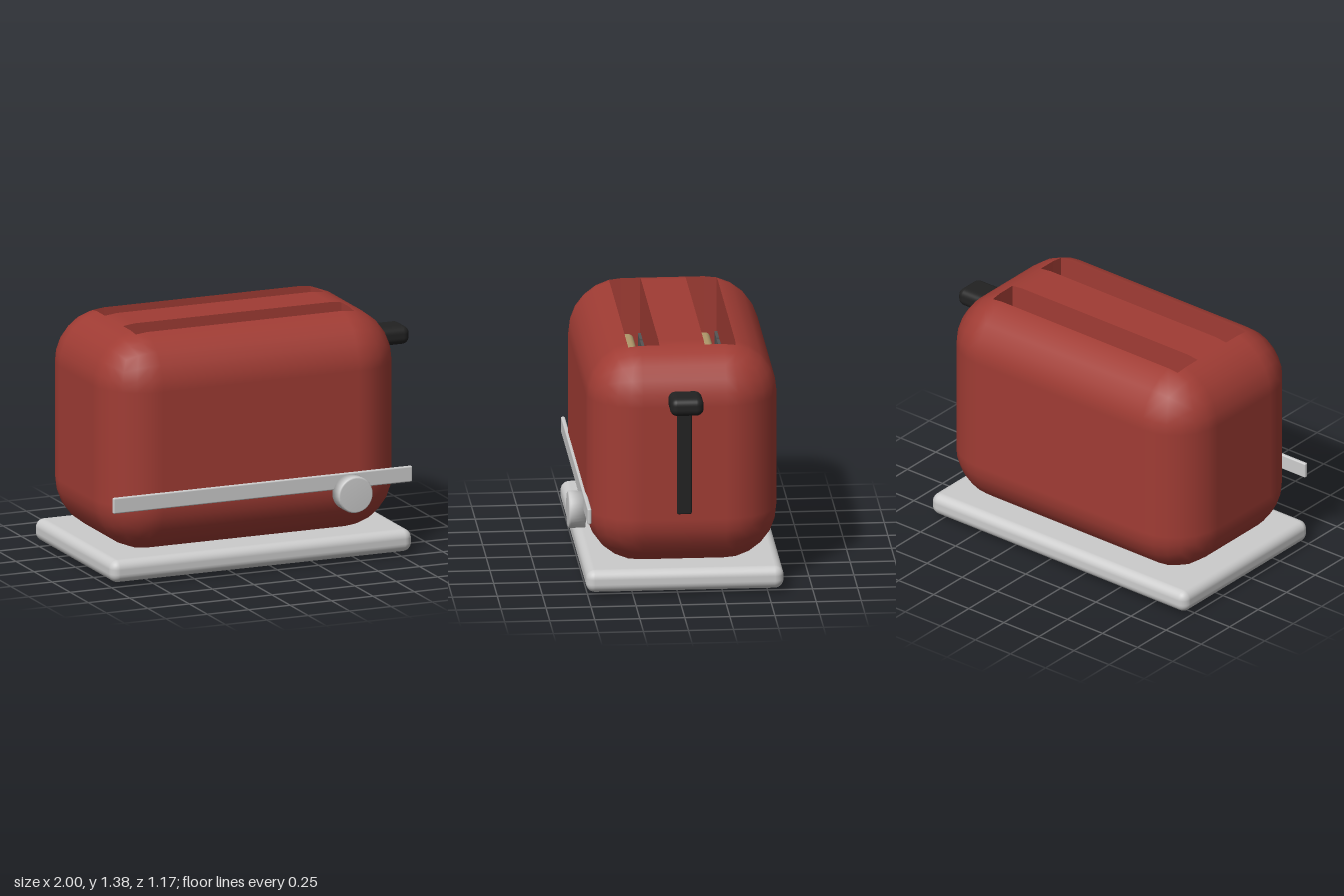
import * as THREE from 'three';
import { RoundedBoxGeometry } from 'three/addons/geometries/RoundedBoxGeometry.js';

const mat = (name, color) => Object.assign(new THREE.MeshStandardMaterial({ color }), { name });

// Rounded box shell with two open wells in its top face.
function bodyGeometry(half, r, wellFloor) {
  const inner = half.map((h) => h - r);
  const steps = [0, 13.5, 29, 45].map((a) => r * Math.tan(THREE.MathUtils.degToRad(a)));
  const wellEnd = steps[1] + 0.001;
  const ribEdge = 0.125;
  const breaks = inner.map((h, axis) => {
    const side = steps.map((s) => h + s);
    if (axis === 2) side.unshift(ribEdge);
    return [...side.map((s) => -s).reverse(), ...side];
  });
  const pos = [], nor = [];
  const push = (p, n) => { pos.push(...p.toArray()); nor.push(...n.toArray()); };
  const quad = (p, n) => [0, 1, 2, 0, 2, 3].forEach((k) => push(p[k], n[k]));

  // push a point of the sharp box onto the rounded surface
  const round = (c) => {
    const core = new THREE.Vector3(...c.map((v, k) => THREE.MathUtils.clamp(v, -inner[k], inner[k])));
    const n = new THREE.Vector3(...c).sub(core).normalize();
    return { p: core.addScaledVector(n, r), n };
  };

  for (let d = 0; d < 3; d++) for (const s of [-1, 1]) {
    const u = (d + 1) % 3, v = (d + 2) % 3, U = breaks[u], V = breaks[v];
    const isWell = (i, j) => {
      if (d !== 1 || s < 0) return false;
      const z = Math.abs(U[i] + U[i + 1]) / 2, x = Math.abs(V[j] + V[j + 1]) / 2;
      return z > ribEdge && z < inner[2] + wellEnd && x < inner[0] + wellEnd;
    };
    for (let i = 0; i < U.length - 1; i++) for (let j = 0; j < V.length - 1; j++) {
      const c = [[i, j], [i + 1, j], [i + 1, j + 1], [i, j + 1]].map(([a, b]) => {
        const q = [0, 0, 0];
        q[d] = s * half[d]; q[u] = U[a]; q[v] = V[b];
        return round(q);
      });
      if (!isWell(i, j)) {
        if (s < 0) c.reverse();
        quad(c.map((k) => k.p), c.map((k) => k.n));
        continue;
      }
      // well floor and walls
      const top = c.map((k) => k.p);
      const low = top.map((p) => new THREE.Vector3(p.x, wellFloor, p.z));
      quad(low, Array(4).fill(new THREE.Vector3(0, 1, 0)));
      [[i, j - 1], [i + 1, j], [i, j + 1], [i - 1, j]].forEach(([a, b], k) => {
        if (isWell(a, b)) return;
        const m = (k + 1) % 4;
        const n = low[m].clone().sub(low[k]).cross(new THREE.Vector3(0, -1, 0)).normalize();
        quad([top[k], top[m], low[m], low[k]], Array(4).fill(n));
      });
    }
  }
  const g = new THREE.BufferGeometry();
  g.setAttribute('position', new THREE.Float32BufferAttribute(pos, 3));
  g.setAttribute('normal', new THREE.Float32BufferAttribute(nor, 3));
  return g;
}

export function createModel() {
  const model = new THREE.Group();
  model.name = 'toaster';
  const red = mat('red enamel', 0xa03c34);
  const metal = mat('light metal', 0xcccccc);
  const black = mat('black plastic', 0x222222);
  const bread = mat('bread', 0xb0986a);
  const wire = mat('heating wire', 0x555555);

  const add = (name, geometry, material, x, y, z) => {
    const m = new THREE.Mesh(geometry, material);
    m.name = name;
    m.position.set(x, y, z);
    model.add(m);
    return m;
  };
  // rounded box given by its extents
  const block = (name, material, [x0, x1], [y0, y1], [z0, z1], r) =>
    add(name, new RoundedBoxGeometry(x1 - x0, y1 - y0, z1 - z0, 4, r), material,
      (x0 + x1) / 2, (y0 + y1) / 2, (z0 + z1) / 2);

  // shell
  const cx = -0.09, cy = 0.755, cz = -0.04;
  add('body', bodyGeometry([0.89, 0.625, 0.53], 0.3, -0.3), red, cx, cy, cz);

  // base plate and feet
  block('base', metal, [-1, 0.82], [0.02, 0.147], [-0.587, 0.51], 0.05);
  for (const x of [-0.665, 0.665]) for (const z of [-0.333, 0.333])
    add('foot', new THREE.CylinderGeometry(0.065, 0.065, 0.03, 24), black, cx + x, 0.015, cz + z);

  // front trim strip and dial
  block('trimStrip', metal, [-0.99, 0.815], [0.42, 0.51], [0.482, 0.505], 0.008);
  const profile = [[0, -0.05], [0.104, -0.05], [0.104, 0.03], [0.101, 0.039], [0.094, 0.044], [0, 0.044]]
    .map(([a, b]) => new THREE.Vector2(a, b));
  add('dial', new THREE.LatheGeometry(profile, 32).toNonIndexed(), metal, 0.44, 0.4, 0.541).rotation.x = Math.PI / 2;

  // lever and its track
  block('leverTrack', black, [0.78, 0.813], [0.465, 1.13], [-0.075, 0.006], 0.008);
  block('leverHandle', black, [0.8, 1], [1.08, 1.182], [-0.128, 0.058], 0.04);

  // bread slices and heating elements in each well
  for (const side of [-1, 1]) {
    const z = cz + side * 0.2125;
    block('breadSlice', bread, [-0.6, 0.42], [0.47, 1.1], [z - 0.037, z + 0.037], 0.03);
    for (const wall of [-1, 1]) for (let i = 0; i < 8; i++)
      add('heatingElement', new THREE.BoxGeometry(0.12, 0.55, 0.016), wire,
        -0.615 + i * 0.15, 0.8, z + wall * 0.077);
  }
  return model;
}
